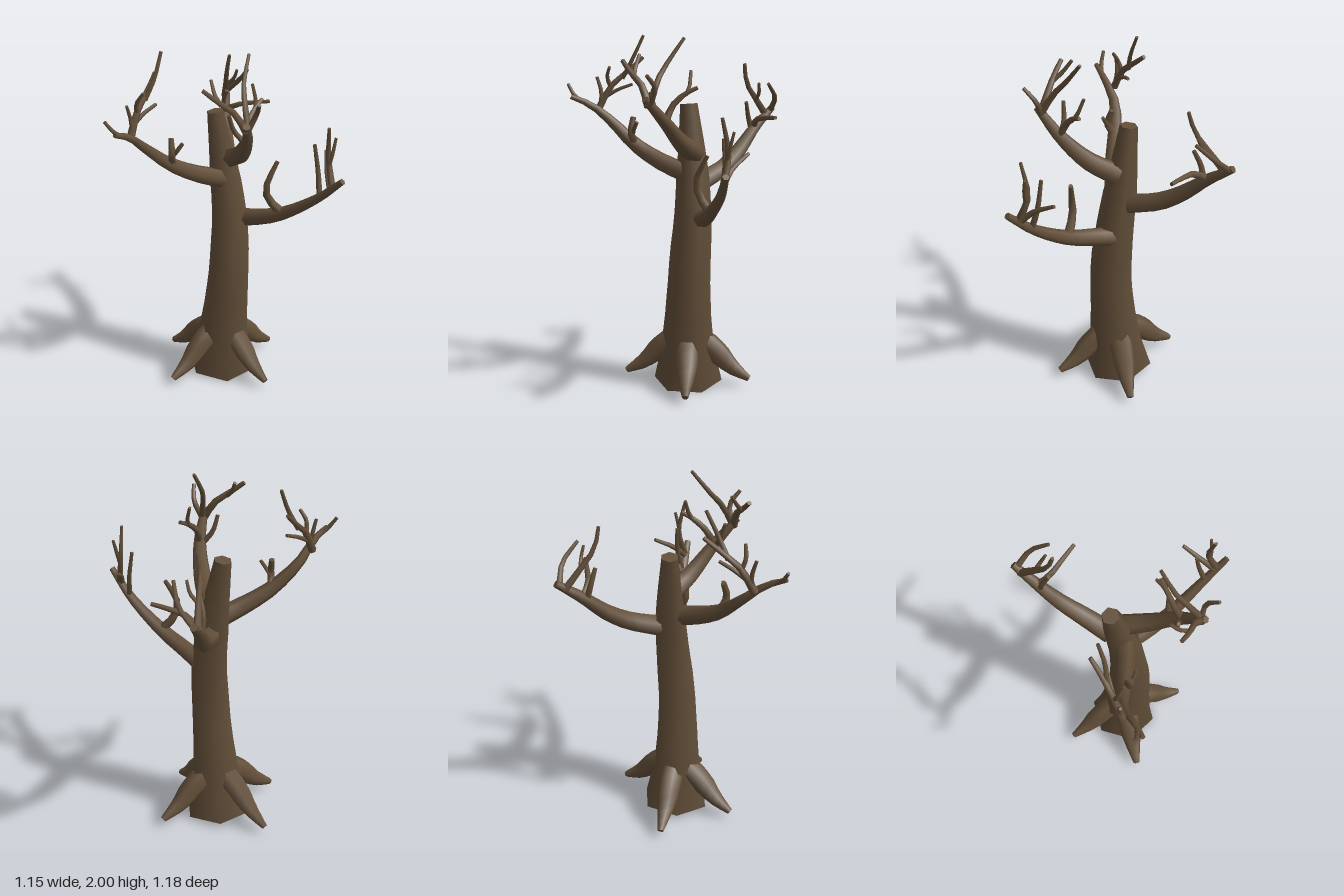
import * as THREE from 'three';
import { mergeGeometries } from 'three/addons/utils/BufferGeometryUtils.js';

const bark = new THREE.MeshStandardMaterial({ color: 0x64503a });
bark.name = 'bark';

const SIDES = 6;

// Six-sided limb along a curve; radii are spread evenly over its length, ends are capped
function limb(name, points, radii, segments = 8) {
  const curve = new THREE.CatmullRomCurve3(points.map(p => new THREE.Vector3(...p)));
  const tube = new THREE.TubeGeometry(curve, segments, 1, SIDES, false);
  const pos = tube.attributes.position;
  const v = new THREE.Vector3();
  const caps = [];
  for (let i = 0; i <= segments; i++) {
    const t = i / segments;
    const f = t * (radii.length - 1);
    const k = Math.min(Math.floor(f), radii.length - 2);
    const r = THREE.MathUtils.lerp(radii[k], radii[k + 1], f - k);
    const centre = curve.getPointAt(t);
    const ring = [];
    for (let j = 0; j <= SIDES; j++) {
      const n = i * (SIDES + 1) + j;
      v.fromBufferAttribute(pos, n).sub(centre).multiplyScalar(r).add(centre);
      pos.setXYZ(n, v.x, v.y, v.z);
      ring.push(v.toArray());
    }
    if (i === 0 || i === segments) {
      for (let j = 0; j < SIDES; j++) {
        const edge = i === 0 ? [ring[j], ring[j + 1]] : [ring[j + 1], ring[j]];
        caps.push(...centre.toArray(), ...edge[0], ...edge[1]);
      }
    }
  }
  const ends = new THREE.BufferGeometry();
  ends.setAttribute('position', new THREE.Float32BufferAttribute(caps, 3));
  ends.computeVertexNormals();
  const side = tube.toNonIndexed();
  side.deleteAttribute('uv');
  const mesh = new THREE.Mesh(mergeGeometries([side, ends]), bark);
  mesh.name = name;
  return mesh;
}

// A bough with its twigs, grouped
function bough(name, points, radii, twigs) {
  const group = new THREE.Group();
  group.name = name;
  group.add(limb(name + 'Limb', points, radii, 10));
  twigs.forEach(([path, r0, r1], i) => group.add(limb(name + 'Twig' + (i + 1), path, [r0, r1], 5)));
  return group;
}

export function createModel() {
  const tree = new THREE.Group();
  tree.name = 'bareTree';

  // Trunk, flared at the foot and leaning near the top
  tree.add(limb('trunk', [
    [-0.11, 0.015, -0.118], [-0.085, 0.27, -0.118], [-0.055, 0.7, -0.13],
    [-0.07, 1.0, -0.145], [-0.11, 1.3, -0.135], [-0.15, 1.61, -0.11],
  ], [0.195, 0.152, 0.132, 0.12, 0.114, 0.103, 0.092, 0.07, 0.048], 16));

  // Four roots
  const tips = { leftRoot: [0.26, -0.145], rightRoot: [-0.46, -0.03], backRoot: [-0.075, -0.48], frontRoot: [-0.12, 0.25] };
  for (const [name, [x, z]] of Object.entries(tips)) {
    const at = (s, y) => [THREE.MathUtils.lerp(-0.1, x, s), y, THREE.MathUtils.lerp(-0.118, z, s)];
    tree.add(limb(name, [at(0.1, 0.29), at(0.4, 0.215), at(0.7, 0.11), at(0.98, 0.045)],
      [0.06, 0.068, 0.062, 0.042, 0.018]));
  }

  // Low bough to the model's left
  tree.add(bough('leftBough',
    [[-0.04, 0.985, -0.195], [0.08, 1.02, -0.22], [0.22, 1.075, -0.265], [0.42, 1.215, -0.34], [0.56, 1.35, -0.378]],
    [0.052, 0.045, 0.036, 0.027, 0.018], [
      [[[0.22, 1.09, -0.265], [0.18, 1.17, -0.205], [0.18, 1.25, -0.19], [0.2, 1.385, -0.25]], 0.026, 0.012],
      [[[0.49, 1.29, -0.36], [0.43, 1.36, -0.395], [0.34, 1.43, -0.475]], 0.018, 0.01],
      [[[0.43, 1.23, -0.345], [0.4, 1.35, -0.36], [0.375, 1.51, -0.35]], 0.017, 0.01],
      [[[0.5, 1.3, -0.365], [0.45, 1.45, -0.38], [0.475, 1.63, -0.35]], 0.02, 0.009],
      [[[0.46, 1.41, -0.375], [0.47, 1.48, -0.39], [0.47, 1.56, -0.41]], 0.013, 0.008],
    ]));

  // Bough reaching forward
  tree.add(bough('frontBough',
    [[-0.08, 1.235, -0.11], [-0.11, 1.28, 0.02], [-0.165, 1.37, 0.19], [-0.205, 1.5, 0.34], [-0.18, 1.59, 0.45], [-0.16, 1.635, 0.555]],
    [0.056, 0.05, 0.042, 0.032, 0.022, 0.013], [
      [[[-0.17, 1.6, 0.48], [-0.185, 1.64, 0.54], [-0.21, 1.7, 0.58]], 0.014, 0.009],
      [[[-0.225, 1.56, 0.41], [-0.25, 1.69, 0.34], [-0.28, 1.77, 0.25], [-0.315, 1.845, 0.17]], 0.022, 0.011],
      [[[-0.265, 1.73, 0.28], [-0.255, 1.84, 0.22], [-0.27, 1.97, 0.16]], 0.014, 0.009],
      [[[-0.25, 1.67, 0.34], [-0.23, 1.74, 0.36], [-0.195, 1.8, 0.34]], 0.014, 0.009],
      [[[-0.22, 1.56, 0.4], [-0.235, 1.65, 0.395], [-0.235, 1.74, 0.42]], 0.015, 0.009],
      [[[-0.24, 1.63, 0.37], [-0.245, 1.67, 0.3], [-0.245, 1.7, 0.22]], 0.013, 0.009],
      [[[-0.165, 1.38, 0.19], [-0.13, 1.44, 0.21], [-0.15, 1.53, 0.2]], 0.024, 0.016],
      [[[-0.14, 1.43, 0.205], [-0.11, 1.47, 0.19], [-0.09, 1.51, 0.17]], 0.014, 0.01],
    ]));

  // High bough
  tree.add(bough('highBough',
    [[-0.085, 1.345, -0.155], [0.06, 1.42, -0.1], [0.195, 1.55, -0.03], [0.295, 1.69, 0.065]],
    [0.058, 0.052, 0.042, 0.031, 0.02], [
      [[[0.28, 1.66, 0.04], [0.31, 1.75, 0.01], [0.365, 1.82, 0.045]], 0.017, 0.01],
      [[[0.28, 1.65, 0.05], [0.23, 1.75, 0.09], [0.18, 1.81, 0.155], [0.125, 1.87, 0.21]], 0.022, 0.012],
      [[[0.19, 1.79, 0.14], [0.14, 1.83, 0.14], [0.09, 1.9, 0.125]], 0.013, 0.009],
      [[[0.28, 1.66, 0.04], [0.22, 1.78, 0.01], [0.165, 1.86, -0.03], [0.11, 1.99, -0.115]], 0.019, 0.009],
      [[[0.2, 1.56, -0.03], [0.17, 1.64, -0.06], [0.15, 1.7, -0.12], [0.135, 1.735, -0.19]], 0.021, 0.011],
      [[[0.165, 1.66, -0.08], [0.14, 1.72, -0.14], [0.1, 1.82, -0.15]], 0.014, 0.009],
      [[[0.19, 1.55, -0.02], [0.16, 1.62, 0.03], [0.155, 1.71, 0.06]], 0.016, 0.01],
    ]));

  // Bough to the back, on the model's right
  tree.add(bough('backBough',
    [[-0.14, 1.18, -0.19], [-0.26, 1.24, -0.3], [-0.36, 1.32, -0.375], [-0.46, 1.435, -0.455], [-0.56, 1.54, -0.55]],
    [0.06, 0.053, 0.043, 0.032, 0.02], [
      [[[-0.55, 1.52, -0.535], [-0.46, 1.61, -0.57], [-0.36, 1.7, -0.535]], 0.018, 0.01],
      [[[-0.535, 1.5, -0.515], [-0.45, 1.62, -0.45], [-0.4, 1.7, -0.41], [-0.365, 1.81, -0.4]], 0.022, 0.01],
      [[[-0.465, 1.44, -0.455], [-0.39, 1.49, -0.465], [-0.31, 1.515, -0.52], [-0.225, 1.53, -0.585]], 0.02, 0.011],
      [[[-0.45, 1.42, -0.44], [-0.44, 1.5, -0.42], [-0.4, 1.59, -0.41]], 0.018, 0.011],
      [[[-0.46, 1.6, -0.46], [-0.42, 1.64, -0.48], [-0.39, 1.7, -0.48]], 0.013, 0.008],
    ]));

  return tree;
}
